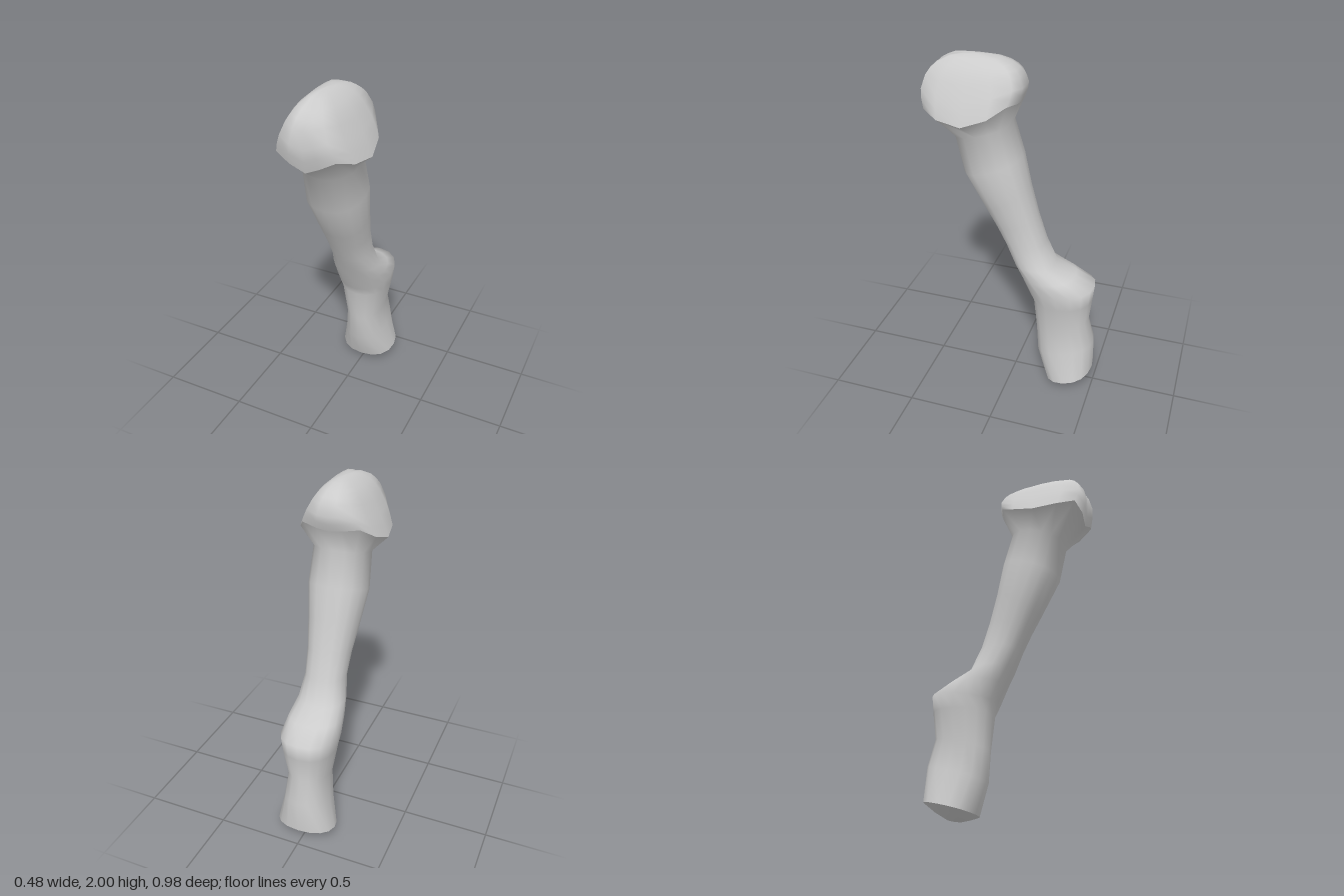
import * as THREE from 'three';

const N = 16; // sides of every cross-section

// Skin rings of points, ordered from top to bottom (angle 0 = front, turning towards +x)
function loft(rings, name) {
  const pos = rings.flat(2), idx = [];
  for (let j = 0; j < rings.length - 1; j++) {
    for (let i = 0; i < N; i++) {
      const k = (i + 1) % N;
      const a = j * N + i, b = j * N + k, c = a + N, d = b + N;
      idx.push(a, c, d, a, d, b);
    }
  }
  const geo = new THREE.BufferGeometry();
  geo.setAttribute('position', new THREE.Float32BufferAttribute(pos, 3));
  geo.setIndex(idx);
  geo.computeVertexNormals();
  const mesh = new THREE.Mesh(geo, new THREE.MeshStandardMaterial({ color: 0xcccccc, roughness: 0.8 }));
  mesh.name = name;
  return mesh;
}

// Tilted rounded section from its front point, back point and half width
function section([zf, yf, zb, yb, w]) {
  const soft = (v) => Math.sign(v) * Math.abs(v) ** 0.88;
  return Array.from({ length: N }, (_, i) => {
    const a = (i / N) * Math.PI * 2;
    const t = (1 - soft(Math.cos(a))) / 2;
    return [w * soft(Math.sin(a)), yf + (yb - yf) * t, zf + (zb - zf) * t];
  });
}

export function createModel() {
  const group = new THREE.Group();
  group.name = 'model';

  // Scalloped rim of the head, front to back [x, y, z], mirrored to the other side
  const half = [
    [0, 1.65, 0.46], [0.08, 1.69, 0.47], [0.16, 1.73, 0.45], [0.215, 1.7, 0.36], [0.24, 1.685, 0.22],
    [0.215, 1.73, 0.09], [0.16, 1.79, 0.0], [0.07, 1.78, -0.03], [0, 1.77, -0.03],
  ];
  const rim = [...half, ...half.slice(1, -1).reverse().map(([x, y, z]) => [-x, y, z])];

  // Domed head: [height drop, width, depth] factors from apex to rim
  const dome = [
    [0, 0, 0], [0.012, 0.12, 0.27], [0.05, 0.25, 0.53], [0.16, 0.42, 0.78], [0.27, 0.53, 0.92],
    [0.4, 0.64, 1.02], [0.64, 0.8, 1.09], [0.82, 0.91, 1.06], [1, 1, 1],
  ];
  const z0 = 0.21;
  group.add(loft(dome.map(([g, fx, fz]) =>
    rim.map(([x, y, z]) => [x * fx, 2 - (2 - y) * g, z0 + (z - z0) * fz])), 'head'));

  // Shaft: [front z, front y, back z, back y, half width]
  const sections = [
    [0.33, 1.56, 0.015, 1.65, 0.155],
    [0.28, 1.35, -0.04, 1.46, 0.165],
    [0.16, 1.13, -0.08, 1.28, 0.14],
    [0.105, 1.03, -0.13, 1.1, 0.122],
    [0.05, 0.92, -0.18, 0.95, 0.115],
    [0.0, 0.82, -0.24, 0.81, 0.135],
    [-0.045, 0.73, -0.36, 0.755, 0.152],
    [-0.09, 0.63, -0.475, 0.7, 0.16],
    [-0.12, 0.57, -0.465, 0.6, 0.148],
    [-0.138, 0.37, -0.45, 0.45, 0.115],
    [-0.15, 0.2, -0.49, 0.3, 0.13],
    [-0.21, 0.03, -0.49, 0.1, 0.172],
  ].map(section);
  group.add(loft([rim, ...sections], 'shaft'));

  // Shallow domed underside of the foot
  const foot = sections[sections.length - 1];
  const centre = [0, 0, -0.32];
  const caps = [[1, 1], [0.65, 0.5], [0.3, 0.12], [0, 0]].map(([r, h]) =>
    foot.map(([x, y, z]) => [x * r, y * h, centre[2] + (z - centre[2]) * r]));
  group.add(loft(caps, 'footUnderside'));

  return group;
}
